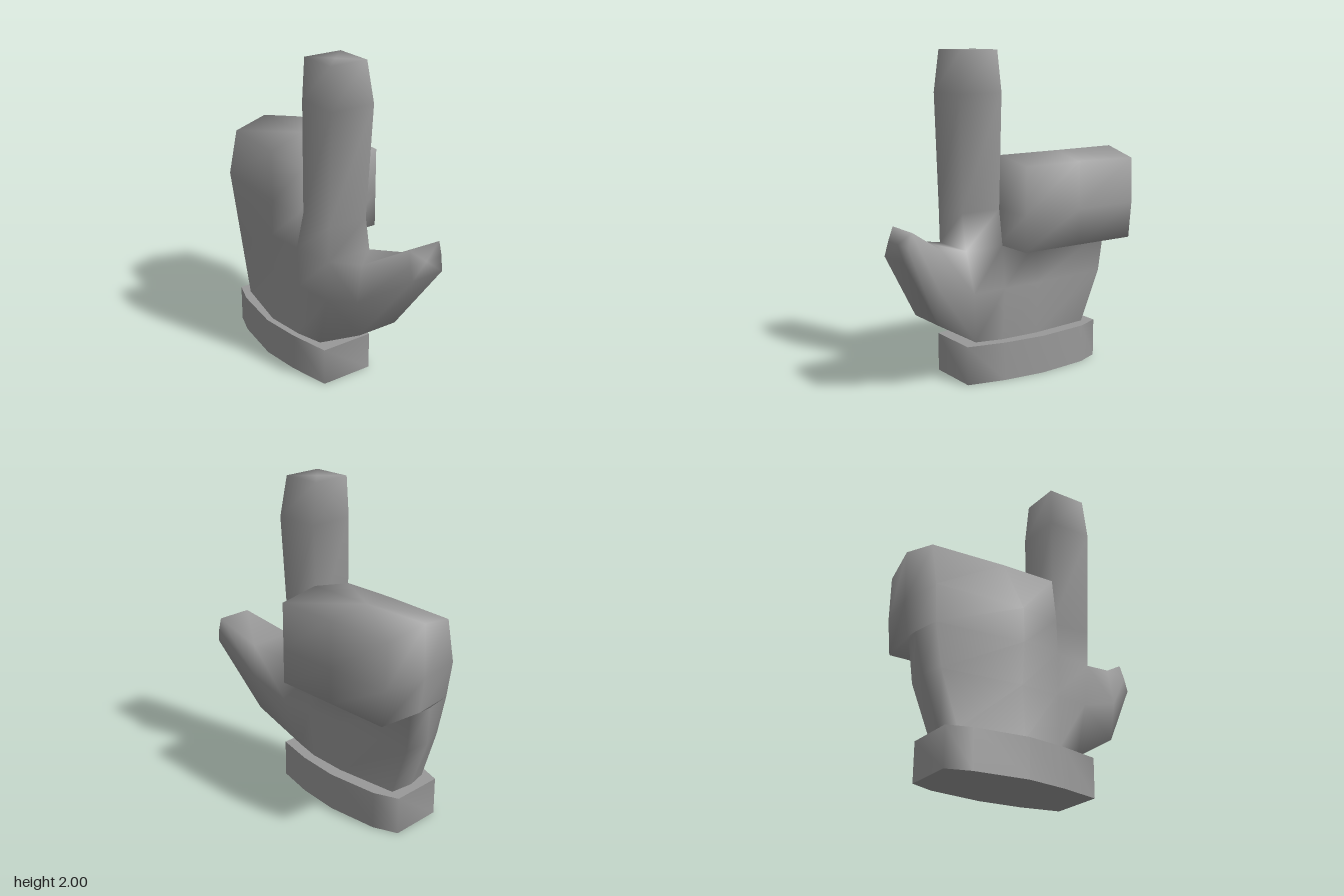
import * as THREE from 'three';
import { mergeVertices, toCreasedNormals } from 'three/addons/utils/BufferGeometryUtils.js';

// Joins successive rings of [x, y, z] points with triangles
function loft(out, rings, { wrap = true, cap = null } = {}) {
  for (let r = 0; r < rings.length - 1; r++) {
    const a = rings[r], b = rings[r + 1], n = a.length;
    for (let i = 0; i < (wrap ? n : n - 1); i++) {
      const j = (i + 1) % n;
      out.push(a[i], a[j], b[j], a[i], b[j], b[i]);
    }
  }
  if (cap) {
    const last = rings[rings.length - 1];
    last.forEach((p, i) => out.push(cap, p, last[(i + 1) % last.length]));
  }
}

// Horizontal ring from [x, z] pairs at one height
const level = (y, pts) => pts.map(([x, z]) => [x, y, z]);

export function createModel() {
  const group = new THREE.Group();
  const grey = new THREE.MeshStandardMaterial({ color: 0x999999 });
  grey.name = 'grey';

  // Palm: front right, around the back, to front left; the thumb closes the front
  const palm = [
    level(0.24, [[0.05, 0.22], [0.09, 0.05], [0.10, -0.2], [0.06, -0.6], [-0.09, -0.62], [-0.22, -0.59], [-0.29, -0.2], [-0.26, 0.05], [-0.21, 0.22]]),
    level(0.57, [[0.13, 0.28], [0.12, 0.05], [0.12, -0.2], [0.08, -0.72], [-0.08, -0.74], [-0.21, -0.7], [-0.26, -0.2], [-0.25, 0.05], [-0.21, 0.28]]),
    level(0.83, [[0.09, 0.31], [0.09, 0.05], [0.10, -0.2], [0.09, -0.75], [-0.04, -0.78], [-0.22, -0.75], [-0.28, -0.2], [-0.26, 0.05], [-0.21, 0.31]]),
  ];
  const [low, mid, top] = palm;
  const tris = [];
  loft(tris, palm, { wrap: false });

  // Raised finger
  const square = (y, x0, x1, z0, z1) => level(y, [[x1, z1], [x1, z0], [x0, z0], [x0, z1]]);
  loft(tris, [
    [top[0], top[1], top[7], top[8]],
    square(1.05, -0.21, 0.055, 0.05, 0.315),
    square(1.75, -0.21, 0.08, 0.05, 0.34),
    square(2.0, -0.2, 0.05, 0.06, 0.31),
  ], { cap: [-0.075, 2, 0.185] });

  // Thumb, reaching forward from the front of the palm
  loft(tris, [
    [low[8], low[0], mid[0], top[0], top[8], mid[8]],
    [[-0.14, 0.42, 0.53], [0.12, 0.42, 0.53], [0.15, 0.65, 0.54], [0.16, 0.88, 0.53], [-0.13, 0.88, 0.53], [-0.17, 0.65, 0.54]],
    [[0.01, 0.85, 0.81], [0.23, 0.85, 0.805], [0.24, 0.935, 0.785], [0.24, 1.02, 0.76], [0.02, 1.02, 0.76], [0.01, 0.935, 0.785]],
  ], { cap: [0.125, 0.935, 0.788] });

  // Folded fingers: step out from the palm, then rise to a low ridge
  loft(tris, [
    [...top.slice(1, 8), [-0.08, 0.83, 0.05]],
    level(0.83, [[0.33, 0.05], [0.33, -0.35], [0.33, -0.75], [0.05, -0.78], [-0.22, -0.75], [-0.28, -0.2], [-0.26, 0.05], [0.05, 0.05]]),
    level(1.05, [[0.33, 0.05], [0.33, -0.35], [0.33, -0.77], [0.05, -0.81], [-0.24, -0.77], [-0.27, -0.2], [-0.25, 0.05], [0.06, 0.05]]),
    [[0.33, 1.34, 0.05], [0.33, 1.34, -0.35], [0.32, 1.33, -0.77], [0.06, 1.38, -0.81],
      [-0.18, 1.33, -0.77], [-0.21, 1.33, -0.3], [-0.21, 1.33, 0.05], [0.07, 1.38, 0.05]],
  ], { cap: [0.07, 1.38, -0.38] });

  // Weld all sections so the shading flows across them
  let skin = new THREE.BufferGeometry();
  skin.setAttribute('position', new THREE.Float32BufferAttribute(tris.flat(), 3));
  skin = mergeVertices(skin, 1e-4);
  skin.computeVertexNormals();
  const hand = new THREE.Mesh(skin, grey);
  hand.name = 'hand';
  group.add(hand);

  // Cuff
  const outline = [[0.10, 0.31], [0.155, 0.07], [0.18, -0.2], [0.15, -0.53], [0.09, -0.68],
    [-0.24, -0.68], [-0.29, -0.53], [-0.33, -0.2], [-0.30, 0.05], [-0.24, 0.31]];
  const shape = new THREE.Shape(outline.map(([x, z]) => new THREE.Vector2(x, -z)));
  const cuffGeometry = new THREE.ExtrudeGeometry(shape, { depth: 0.24, bevelEnabled: false });
  cuffGeometry.rotateX(-Math.PI / 2);
  const cuff = new THREE.Mesh(toCreasedNormals(cuffGeometry, 1.4), grey);
  cuff.name = 'cuff';
  group.add(cuff);

  return group;
}
